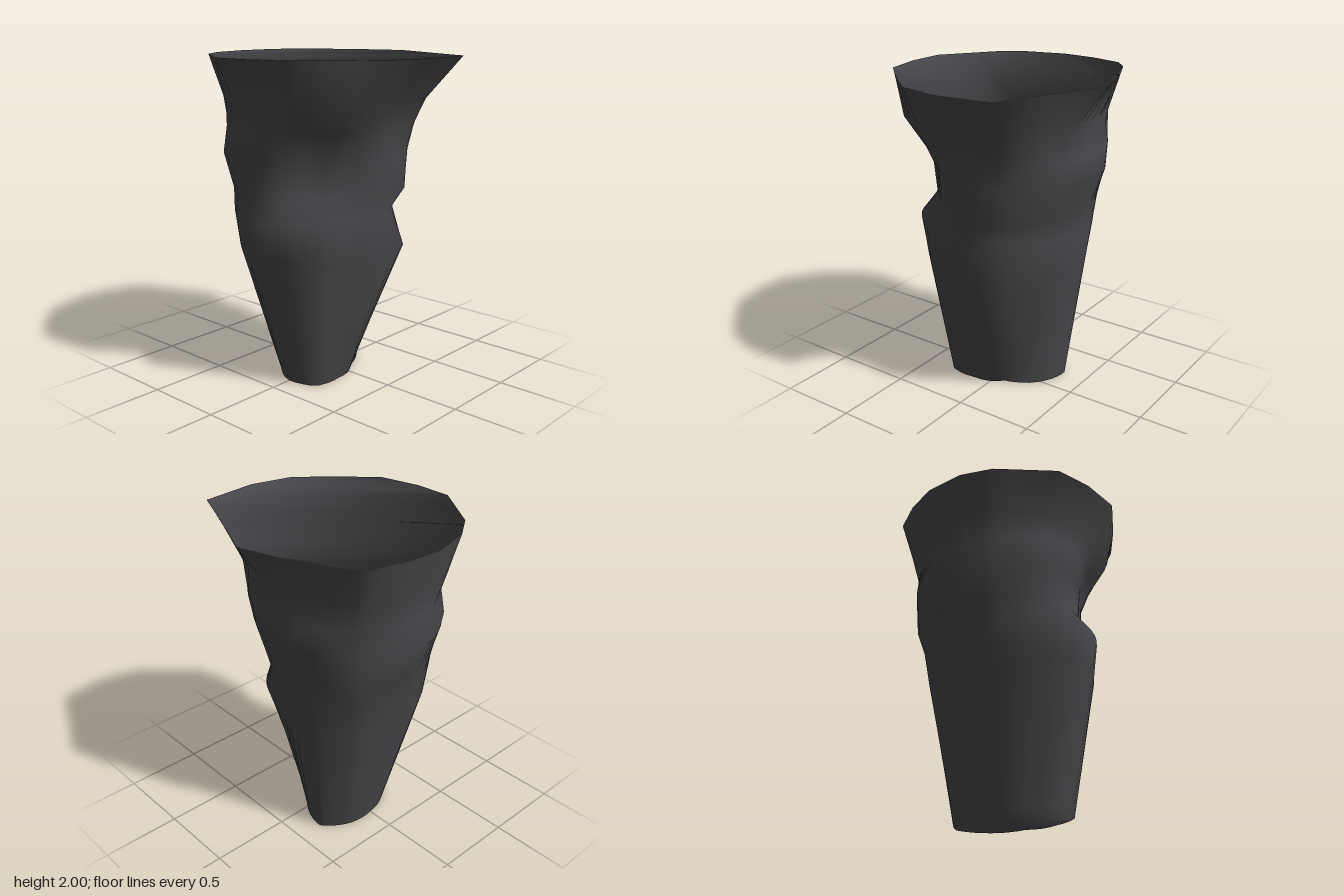
import * as THREE from 'three';

// Outline of the flat top, as [x, z], running from the back round by the left side
const RIM = [
  [0.03, -0.7], [0.39, -0.54], [0.7, -0.41], [0.735, -0.05], [0.67, 0.22], [0.5, 0.42],
  [0.28, 0.64], [0.02, 0.7], [-0.22, 0.7], [-0.55, 0.47], [-0.67, 0.3], [-0.735, 0.05],
  [-0.72, -0.17], [-0.66, -0.39], [-0.55, -0.48], [-0.38, -0.54], [-0.24, -0.62],
];

// Levels below the top: a radius every 30 degrees, from +x towards +z
const LEVELS = [
  { y: 0, r: [0.18, 0.23, 0.36, 0.36, 0.31, 0.31, 0.32, 0.36, 0.39, 0.27, 0.18, 0.14] },
  { y: 0.84, r: [0.47, 0.45, 0.5, 0.57, 0.56, 0.53, 0.5, 0.54, 0.5, 0.44, 0.43, 0.48] },
  { y: 1.06, r: [0.4, 0.44, 0.53, 0.63, 0.59, 0.56, 0.56, 0.58, 0.53, 0.45, 0.42, 0.39] },
  { y: 1.2, r: [0.47, 0.4, 0.41, 0.52, 0.58, 0.59, 0.6, 0.63, 0.53, 0.46, 0.46, 0.48] },
  { y: 1.42, r: [0.46, 0.42, 0.42, 0.56, 0.64, 0.64, 0.7, 0.64, 0.6, 0.56, 0.51, 0.48] },
  { y: 1.58, r: [0.49, 0.49, 0.49, 0.59, 0.62, 0.61, 0.65, 0.64, 0.61, 0.57, 0.54, 0.52] },
  { y: 1.75, r: [0.53, 0.59, 0.62, 0.55, 0.6, 0.66, 0.68, 0.69, 0.57, 0.5, 0.54, 0.6] },
];

// Radius of a level at any angle, blended between its twelve directions
function radiusAt(r, angle) {
  const t = (angle / (Math.PI / 6) + 12) % 12;
  const i = Math.floor(t);
  return THREE.MathUtils.lerp(r[i], r[(i + 1) % 12], t - i);
}

// Zigzag strip across a closed ring of n points, facing down or up
function capIndex(start, n, up) {
  const hub = 16, out = [];
  const at = (k) => start + (hub + k + n) % n;
  for (let k = 0; k < (n - 1) / 2; k++) {
    const tris = [[at(k), at(k + 1), at(-k - 1)]];
    if (k > 0) tris.push([at(k), at(-k - 1), at(-k)]);
    for (const [a, b, c] of tris) out.push(...(up ? [a, c, b] : [a, b, c]));
  }
  return out;
}

export function createModel() {
  const group = new THREE.Group();
  const stone = new THREE.MeshStandardMaterial({ color: 0x48474b });
  stone.name = 'darkStone';

  // Columns follow the rim corners, with two more on each edge
  const rim = RIM.flatMap(([x, z], i) => {
    const [nx, nz] = RIM[(i + 1) % RIM.length];
    return [0, 1 / 3, 2 / 3].map((t) => [x + (nx - x) * t, z + (nz - z) * t]);
  });
  const n = rim.length;
  const positions = [];
  for (const { y, r } of LEVELS) {
    for (const [x, z] of rim) {
      const a = Math.atan2(z, x);
      const d = radiusAt(r, a);
      positions.push(d * Math.cos(a), y, d * Math.sin(a));
    }
  }
  for (const [x, z] of rim) positions.push(x, 2, z);

  // Side wall
  const wall = [];
  for (let j = 0; j < LEVELS.length; j++) {
    for (let i = 0; i < n; i++) {
      const a = j * n + i, b = j * n + (i + 1) % n;
      wall.push(a, a + n, b, b, a + n, b + n);
    }
  }
  const geometry = new THREE.BufferGeometry();
  geometry.setAttribute('position', new THREE.Float32BufferAttribute(positions, 3));
  geometry.setIndex(wall);
  geometry.computeVertexNormals();

  // Base and flat top keep the wall's normals, so the shading runs on over the edges
  geometry.setIndex([...wall, ...capIndex(0, n, false), ...capIndex(LEVELS.length * n, n, true)]);

  const rock = new THREE.Mesh(geometry, stone);
  rock.name = 'hangingRock';
  group.add(rock);
  return group;
}
